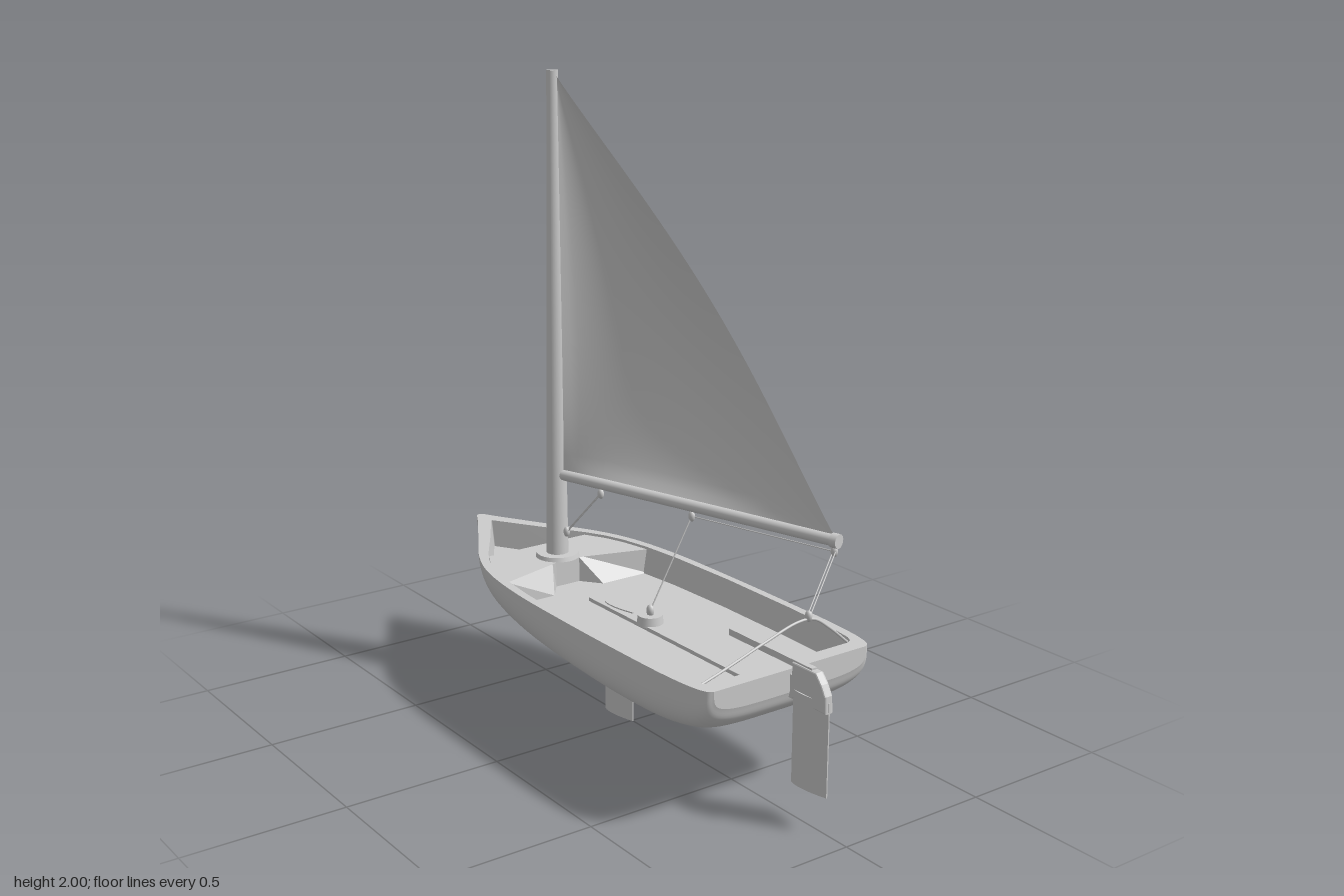
import * as THREE from 'three';

const RIM = 0.44, FLOOR = 0.35, DECK = 0.432;
const mat = new THREE.MeshStandardMaterial({ color: 0xcccccc, roughness: 0.8 });
const thin = new THREE.MeshStandardMaterial({ color: 0xcccccc, roughness: 0.8, side: THREE.DoubleSide });
const V = (x, y, z) => new THREE.Vector3(x, y, z);
const V2 = (x, y) => new THREE.Vector2(x, y);

export function createModel() {
  const boat = new THREE.Group();
  boat.name = 'sailingDinghy';

  const add = (name, geo, x = 0, y = 0, z = 0, m = mat) => {
    const mesh = new THREE.Mesh(geo, m);
    mesh.name = name;
    mesh.position.set(x, y, z);
    boat.add(mesh);
    return mesh;
  };

  // Smooth surface from fn(u, v) -> Vector3
  const grid = (nu, nv, fn) => {
    const pos = [], idx = [];
    for (let i = 0; i <= nu; i++) for (let j = 0; j <= nv; j++) pos.push(...fn(i / nu, j / nv).toArray());
    for (let i = 0; i < nu; i++) for (let j = 0; j < nv; j++) {
      const a = i * (nv + 1) + j, c = a + nv + 1;
      idx.push(a, a + 1, c, a + 1, c + 1, c);
    }
    const g = new THREE.BufferGeometry();
    g.setAttribute('position', new THREE.Float32BufferAttribute(pos, 3));
    g.setIndex(idx);
    g.computeVertexNormals();
    return g;
  };

  // Round bar between two points
  const bar = (name, a, b, r0, r1 = r0, sides = 16) => {
    const m = add(name, new THREE.CylinderGeometry(r1, r0, a.distanceTo(b), sides));
    m.position.copy(a).lerp(b, 0.5);
    m.quaternion.setFromUnitVectors(V(0, 1, 0), b.clone().sub(a).normalize());
    return m;
  };

  // Plan shape extruded downwards from height y
  const slab = (pts, depth) => new THREE.ExtrudeGeometry(new THREE.Shape(pts),
    { depth, bevelEnabled: false }).rotateX(Math.PI / 2);

  // Hull stations: x, keel height, half width
  const stations = new THREE.CatmullRomCurve3([
    [-0.92, 0.42, 0.004], [-0.91, 0.385, 0.015], [-0.88, 0.355, 0.03], [-0.8, 0.32, 0.076],
    [-0.68, 0.293, 0.146], [-0.53, 0.273, 0.232], [-0.4, 0.26, 0.28], [-0.2, 0.247, 0.31],
    [0.1, 0.24, 0.32], [0.4, 0.245, 0.32], [0.6, 0.264, 0.315], [0.7, 0.293, 0.305],
    [0.745, 0.33, 0.292], [0.76, 0.37, 0.275],
  ].map(p => V(...p)));
  const section = (s, v) => {
    const a = Math.PI * v, n = THREE.MathUtils.clamp(3.4 + 2.2 * s.x, 2.2, 4.5);
    const c = Math.cos(a), k = 2 / n;
    return V(s.x, RIM - (RIM - s.y) * Math.pow(Math.max(0, Math.sin(a)), k),
      s.z * Math.sign(c) * Math.pow(Math.abs(c), k));
  };
  add('hull', grid(70, 48, (u, v) => section(stations.getPoint(u), v)), 0, 0, 0, thin);
  const stern = stations.getPoint(1);
  add('transom', grid(1, 48, (u, v) => section(stern, v).lerp(V(0.76, RIM, 0), u)), 0, 0, 0, thin);

  // Gunwale rim with the cockpit cut out of it
  const mirror = half => [...half, ...half.slice().reverse().map(p => V2(p.x, -p.y))];
  const outer = mirror(stations.getPoints(70).map(p => V2(p.x, p.z)));
  const inner = mirror([
    [-0.835, 0.002], [-0.68, 0.1], [-0.54, 0.192], [-0.47, 0.228], [-0.4, 0.252], [-0.3, 0.272], [-0.15, 0.287],
    [0.1, 0.296], [0.4, 0.295], [0.6, 0.288], [0.68, 0.278], [0.7, 0.268], [0.71, 0.25],
  ].map(p => V2(...p)));
  const rim = new THREE.Shape(outer);
  rim.holes.push(new THREE.Path(inner));
  add('gunwale', new THREE.ShapeGeometry(rim).rotateX(-Math.PI / 2), 0, RIM, 0, thin);

  // Cockpit walls lean in slightly towards the floor
  const floorPts = inner.map(p => V2(p.x * 0.98, p.y * 0.96));
  const n = inner.length;
  add('cockpitWall', grid(n, 1, (u, v) => {
    const i = Math.round(u * n) % n, p = v ? floorPts[i] : inner[i];
    return V(p.x, v ? FLOOR : RIM, p.y);
  }), 0, 0, 0, thin);
  add('cockpitFloor', new THREE.ShapeGeometry(new THREE.Shape(floorPts)).rotateX(-Math.PI / 2), 0, FLOOR, 0, thin);

  // Mast deck; its aft faces slope down to the floor on each side of a notch
  const deck = slab(mirror([[-0.54, 0.188], [-0.47, 0.226], [-0.4, 0.25], [-0.295, 0.272], [-0.295, 0.095], [-0.36, 0.045]]
    .map(p => V2(...p))), DECK - FLOOR);
  const dp = deck.attributes.position;
  for (let i = 0; i < dp.count; i++) {
    if (dp.getY(i) > -0.01 && Math.abs(Math.abs(dp.getZ(i)) - 0.095) < 0.001) {
      dp.setX(i, -0.358);
      dp.setZ(i, Math.sign(dp.getZ(i)) * 0.06);
    }
  }
  deck.computeVertexNormals();
  add('mastDeck', deck, 0, DECK, 0, thin);

  // Mast and its collar
  add('mastCollar', new THREE.CylinderGeometry(0.068, 0.072, 0.014, 32), -0.42, 0.438, 0);
  add('mast', new THREE.CylinderGeometry(0.018, 0.036, 1.57, 24), -0.42, 1.215, 0);

  // Boom
  const boomA = V(-0.4, 0.713, -0.005), boomB = V(0.61, 0.713, -0.283);
  bar('boom', boomA, boomB, 0.018);
  bar('boomEnd', V(0.6, 0.713, -0.28), V(0.622, 0.713, -0.286), 0.022);

  // Sail: leech sags to leeward, belly fullest near the luff
  add('sail', grid(40, 40, (u, v) => {
    const y = 0.72 + 1.265 * v;
    const luffX = -0.392 - 0.012 * v, leechX = 0.61 + (-0.4 - 0.61) * v + 0.012 * Math.sin(Math.PI * v);
    const leechZ = -0.283 * (1 - v) - 0.058 * Math.pow(Math.sin(Math.PI * v), 1.3);
    const belly = 0.085 * Math.sin(Math.PI * Math.pow(u, 0.7)) * Math.sin(Math.PI * Math.pow(v, 0.65));
    return V(luffX + (leechX - luffX) * u, y, -0.005 + (leechZ + 0.005) * u - belly);
  }), 0, 0, 0, thin);

  // Centreboard trunk strip, slot lip and board
  add('trunkStrip', new THREE.BoxGeometry(0.87, 0.012, 0.064), 0.245, FLOOR + 0.006, 0);
  const foil = (x0, x1, half) => {
    const s = new THREE.Shape();
    s.moveTo(x0, 0);
    s.bezierCurveTo(x0, half * 1.4, (x0 + x1) / 2, half * 1.3, x1, 0.002);
    s.lineTo(x1, -0.002);
    s.bezierCurveTo((x0 + x1) / 2, -half * 1.3, x0, -half * 1.4, x0, 0);
    return s.getPoints(14);
  };
  add('centreboard', slab(foil(-0.137, 0.005, 0.019), 0.366), 0, 0.366, 0);

  // Rudder blade, head, fitting and tiller
  add('rudderBlade', slab(foil(0.772, 0.915, 0.018), 0.28), 0, 0.39, 0);
  const head = new THREE.Shape([[0.772, 0.36], [0.915, 0.36], [0.912, 0.41], [0.895, 0.44], [0.872, 0.467], [0.772, 0.467]]
    .map(p => V2(...p)));
  add('rudderHead', new THREE.ExtrudeGeometry(head,
    { depth: 0.016, bevelThickness: 0.006, bevelSize: 0.004, bevelOffset: -0.004, bevelSegments: 2 }), 0, 0, -0.008);
  add('rudderFitting', new THREE.BoxGeometry(0.03, 0.07, 0.016), 0.768, 0.39, 0);
  add('tiller', new THREE.BoxGeometry(0.36, 0.02, 0.018), 0.67, 0.462, 0);

  // Rope traveller over the stern
  const arch = new THREE.CatmullRomCurve3([V(0.686, 0.43, 0.265), V(0.686, 0.455, 0.18), V(0.686, 0.5, 0.04),
    V(0.686, 0.533, -0.08), V(0.686, 0.53, -0.14), V(0.686, 0.49, -0.2), V(0.686, 0.43, -0.27)]);
  add('traveller', new THREE.TubeGeometry(arch, 40, 0.004, 8));

  // Blocks and control lines
  const block = (name, p, r = 0.012) => {
    const m = add(name, new THREE.SphereGeometry(r, 14, 10), p.x, p.y, p.z);
    m.scale.set(1, 1.4, 0.8);
  };
  const onBoom = x => boomA.clone().lerp(boomB, (x - boomA.x) / (boomB.x - boomA.x)).setY(0.68);
  const vangTop = onBoom(-0.24), vangFoot = V(-0.372, 0.525, -0.005);
  const midBlock = onBoom(0.11), endBlock = onBoom(0.607);
  const sternBlock = V(0.686, 0.543, -0.12), floorBlock = V(0.095, 0.4, 0);
  block('vangTopBlock', vangTop);
  block('vangFootBlock', vangFoot);
  block('midBoomBlock', midBlock);
  block('endBoomBlock', endBlock);
  block('travellerBlock', sternBlock);
  block('floorBlock', floorBlock, 0.014);
  add('floorBlockBase', new THREE.CylinderGeometry(0.038, 0.042, 0.03, 24), 0.095, 0.373, 0);
  for (const s of [-1, 1]) {
    const off = V(0.007 * s, 0.004 * s, 0);
    bar('vangLine', vangTop.clone().add(off), vangFoot.clone().add(off), 0.002, 0.002, 6);
    bar('sternSheet', endBlock.clone().add(off), sternBlock.clone().add(off), 0.002, 0.002, 6);
  }
  bar('boomSheet', midBlock, endBlock, 0.002, 0.002, 6);
  bar('mainSheet', midBlock, floorBlock, 0.0025, 0.0025, 6);

  return boat;
}
